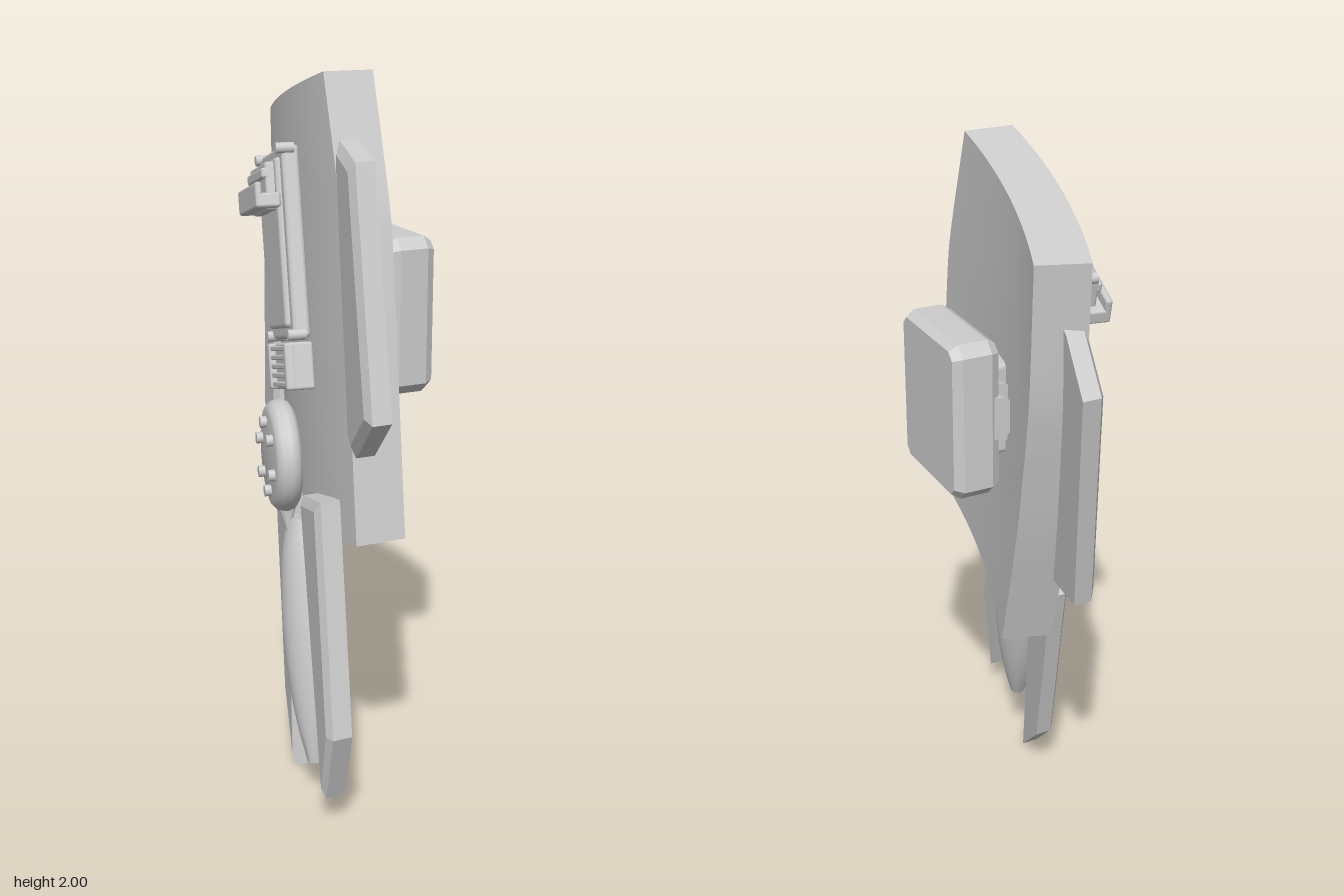
import * as THREE from 'three';
import { toCreasedNormals } from 'three/addons/utils/BufferGeometryUtils.js';
import { RoundedBoxGeometry } from 'three/addons/geometries/RoundedBoxGeometry.js';

const V = (x, y, z) => new THREE.Vector3(x, y, z);

export function createModel() {
  const model = new THREE.Group();
  model.name = 'armShield';
  const grey = new THREE.MeshStandardMaterial({ color: 0xcccccc });
  grey.name = 'plainGrey';

  function add(parent, name, geometry, x = 0, y = 0, z = 0) {
    const mesh = new THREE.Mesh(geometry, grey);
    mesh.name = name;
    mesh.position.set(x, y, z);
    parent.add(mesh);
    return mesh;
  }

  // Slab outlined by [z, y] points, bevelled on its outer (-x) face only unless bothSides;
  // outerX gives x of the outer face
  function slab(name, points, thick, bevelSize, bevelDepth, outerX, bothSides = false) {
    const shape = new THREE.Shape(points.map(([z, y]) => new THREE.Vector2(z, y)));
    const inner = bothSides ? bevelDepth : 0;
    const geo = new THREE.ExtrudeGeometry(shape, {
      depth: thick - bevelDepth - inner, bevelEnabled: true, bevelSegments: 1,
      bevelSize, bevelThickness: bevelDepth, bevelOffset: -bevelSize,
    });
    const p = geo.attributes.position;
    for (let i = 0; i < p.count; i++) {
      const z = p.getX(i), y = p.getY(i), d = Math.max(p.getZ(i) + inner, 0);
      p.setXYZ(i, outerX(z, y) + thick - d, y, z);
    }
    geo.computeVertexNormals();
    return add(model, name, geo);
  }

  // Curved main plate: a box bent between its front and back edge curves
  const edge = (points) => new THREE.CatmullRomCurve3(points, false, 'catmullrom', 0.3);
  const frontEdge = edge([
    V(0.05, 2, 0.165), V(0.035, 1.634, 0.313), V(0.017, 1.236, 0.403), V(0, 0.828, 0.488)]);
  const backEdge = edge([
    V(0.16, 1.838, -0.445), V(0.15, 1.455, -0.405), V(0.135, 1.06, -0.315), V(0.12, 0.648, -0.192)]);
  const plate = new THREE.BoxGeometry(1, 1, 1, 16, 15, 1);
  const pp = plate.attributes.position;
  for (let i = 0; i < pp.count; i++) {
    const u = 0.5 - pp.getX(i), t = 0.5 - pp.getY(i);
    const a = frontEdge.getPoint(t), b = backEdge.getPoint(t);
    const q = a.clone().lerp(b, u);
    q.x = a.x + (b.x - a.x) * u * u;
    if (pp.getZ(i) > 0) q.addScaledVector(V(-1, 0, -0.35 * u).normalize(), 0.14);
    pp.setXYZ(i, q.x, q.y, q.z);
  }
  plate.computeVertexNormals();
  add(model, 'mainPlate', plate);

  // Side wings
  slab('frontWing', [[0.24, 1.835], [0.19, 1.2], [0.44, 1.05], [0.612, 1.19], [0.414, 1.803]],
    0.068, 0.03, 0.015, (z) => -0.043 - 0.21 * z);
  slab('backWing', [[-0.4, 1.69], [-0.475, 1.66], [-0.607, 1.545], [-0.5, 0.912], [-0.29, 0.868]],
    0.066, 0.03, 0.015, (z, y) => 0.046 - 0.22 * (z + 0.61) + 0.04 * (y - 1.545));

  // Lower blades
  slab('frontBlade', [[0.395, 0.925], [0.185, 0.87], [0.455, 0.09], [0.537, 0.31]],
    0.07, 0.025, 0.015, (z) => -0.14 - 0.19 * z);
  slab('backBlade', [[0.005, 0.81], [-0.205, 0.75], [-0.058, 0.165], [0.117, 0]],
    0.06, 0.025, 0.012, (z) => -0.137 - 0.25 * z);

  // Spindle between the blades
  const tip = V(-0.165, 0.1, 0.275), top = V(-0.115, 0.82, 0.12);
  const profile = new THREE.SplineCurve([[0.022, 0], [0.046, 0.1], [0.067, 0.22], [0.081, 0.36],
    [0.084, 0.48], [0.079, 0.6], [0.062, 0.7]].map(([r, y]) => new THREE.Vector2(r, y))).getPoints(20);
  const spindleGeo = new THREE.LatheGeometry(
    [new THREE.Vector2(0, 0), ...profile, new THREE.Vector2(0, 0.7)], 24);
  const spindle = add(model, 'spindle', toCreasedNormals(spindleGeo, 0.7), tip.x, tip.y, tip.z);
  spindle.quaternion.setFromUnitVectors(V(0, 1, 0), top.sub(tip).normalize());

  // Grip block with its bracket and pivot on the inner side
  const c = 0.03, z0 = -0.19, z1 = 0.155, y0 = 1.105, y1 = 1.547;
  slab('gripBlock', [[z0 + c, y0], [z1 - c, y0], [z1, y0 + c], [z1, y1 - c],
    [z1 - c, y1], [z0 + c, y1], [z0, y1 - c], [z0, y0 + c]], 0.132, 0.016, 0.025, () => 0.12, true);
  add(model, 'gripBracket', new RoundedBoxGeometry(0.11, 0.26, 0.24, 1, 0.015), 0.085, 1.33, -0.02);
  for (const [r, len] of [[0.09, 0.28], [0.06, 0.33]]) {
    const pivot = add(model, 'gripPivot', new THREE.CylinderGeometry(r, r, len, 32), 0.13, 1.33, -0.02);
    pivot.rotation.x = Math.PI / 2;
  }

  // Frame lying on the outer face: local x to the front, y up the plate, z outwards
  function outerFrame(name, x, y, z, slope) {
    const up = V(0.04, 0.96, -0.25).normalize();
    const out = V(slope, 0.24, 0.95).cross(up).normalize();
    const g = new THREE.Group();
    g.name = name;
    g.position.set(x, y, z);
    g.quaternion.setFromRotationMatrix(
      new THREE.Matrix4().makeBasis(up.clone().cross(out), up, out));
    model.add(g);
    return g;
  }
  const block = (g, name, w, h, d, x, y, z, r = 0.008) =>
    add(g, name, new RoundedBoxGeometry(w, h, d, 1, r), x, y, z);

  // Equipment panel with corner pins, clamp bar and vent
  const panel = outerFrame('equipmentPanel', -0.087, 1.51, -0.08, -0.17);
  block(panel, 'panelBase', 0.29, 0.52, 0.05, 0, 0, 0.01, 0.012);
  block(panel, 'panelPlate', 0.24, 0.46, 0.06, 0, 0, 0.02, 0.012);
  for (const sx of [-1, 1]) for (const sy of [-1, 1]) {
    const pin = add(panel, 'cornerPin', new THREE.CylinderGeometry(0.015, 0.015, 0.05, 12),
      sx * 0.14, sy * 0.25, 0.025);
    pin.rotation.x = Math.PI / 2;
  }
  block(panel, 'clampBase', 0.21, 0.13, 0.05, 0, 0.155, 0.05);
  block(panel, 'clampRib', 0.21, 0.03, 0.07, 0, 0.19, 0.05);
  block(panel, 'clampBar', 0.26, 0.04, 0.07, 0, 0.115, 0.075);
  block(panel, 'clampLip', 0.26, 0.07, 0.02, 0, 0.13, 0.1);
  block(panel, 'ventBase', 0.25, 0.13, 0.06, 0.01, -0.335, 0.01);
  for (const sx of [-1, 1]) block(panel, 'ventSide', 0.025, 0.13, 0.05, 0.01 + sx * 0.11, -0.335, 0.035);
  for (let i = 0; i < 5; i++) block(panel, 'ventSlat', 0.2, 0.014, 0.035, 0.01, -0.385 + i * 0.025, 0.037, 0.004);

  // Round hub with a ring of bolts
  const hub = outerFrame('hub', -0.155, 0.957, 0.085, -0.2);
  const hubGeo = new THREE.LatheGeometry([[0, -0.008], [0.135, -0.008], [0.15, 0.003], [0.157, 0.022],
    [0.152, 0.045], [0.138, 0.059], [0.125, 0.062], [0, 0.062]].map(([r, y]) => new THREE.Vector2(r, y)), 40);
  add(hub, 'hubDisc', toCreasedNormals(hubGeo, 0.75)).rotation.x = Math.PI / 2;
  for (let i = 0; i < 6; i++) {
    const a = (i + 0.5) * Math.PI / 3;
    const bolt = add(hub, 'hubBolt', new THREE.CylinderGeometry(0.016, 0.016, 0.04, 12),
      Math.cos(a) * 0.095, Math.sin(a) * 0.095, 0.06);
    bolt.rotation.x = Math.PI / 2;
  }
  // Small cone under the hub
  const cone = add(hub, 'hubCone', new THREE.ConeGeometry(0.03, 0.1, 16), 0, -0.18, 0.02);
  cone.rotation.x = Math.PI;

  return model;
}
